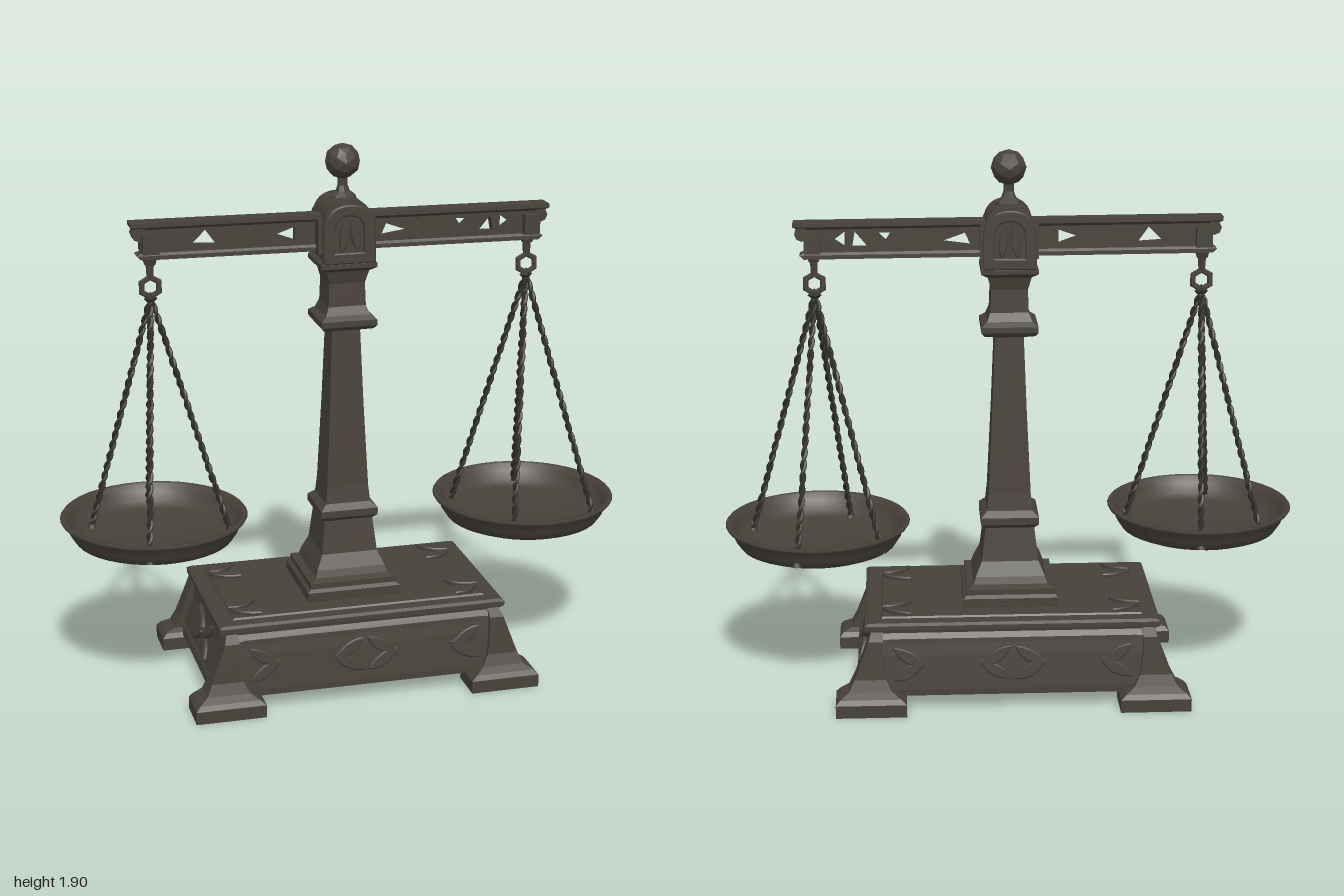
import * as THREE from 'three';

const bronze = new THREE.MeshStandardMaterial({ color: 0x47413a });
bronze.name = 'dark bronze';
const bronzeFlat = bronze.clone();
bronzeFlat.flatShading = true;
const chainMetal = new THREE.MeshStandardMaterial({ color: 0x34312b });
chainMetal.name = 'dark chain metal';

function add(parent, name, geometry, material = bronzeFlat, x = 0, y = 0, z = 0) {
  const mesh = new THREE.Mesh(geometry, material);
  mesh.name = name;
  mesh.position.set(x, y, z);
  parent.add(mesh);
  return mesh;
}

// Rectangular loft through rings of [y, x0, x1, z0, z1], rising in y, capped at both ends
function loft(rings) {
  const pos = [], index = [];
  for (const [y, x0, x1, z0, z1] of rings) pos.push(x0, y, z1, x1, y, z1, x1, y, z0, x0, y, z0);
  for (let r = 0; r < rings.length - 1; r++) {
    for (let i = 0; i < 4; i++) {
      const a = r * 4 + i, b = r * 4 + (i + 1) % 4;
      index.push(a, b, b + 4, a, b + 4, a + 4);
    }
  }
  const t = (rings.length - 1) * 4;
  index.push(0, 2, 1, 0, 3, 2, t, t + 1, t + 2, t, t + 2, t + 3);
  const g = new THREE.BufferGeometry();
  g.setAttribute('position', new THREE.Float32BufferAttribute(pos, 3));
  g.setIndex(index);
  const flat = g.toNonIndexed();
  flat.computeVertexNormals();
  return flat;
}
const centred = rows => loft(rows.map(([y, hx, hz = hx]) => [y, -hx, hx, -hz, hz]));

function extrude(shape, depth, bevel = 0) {
  const g = new THREE.ExtrudeGeometry(shape, {
    depth, bevelEnabled: bevel > 0, bevelSize: bevel, bevelThickness: bevel, bevelSegments: 1, curveSegments: 10,
  });
  return g.translate(0, 0, -depth / 2);
}

function archShape(w, y0, y1, Type = THREE.Shape) {
  const s = new Type();
  s.moveTo(-w, y0).lineTo(w, y0).lineTo(w, y1 - w * 1.1);
  s.bezierCurveTo(w, y1 - w * 0.3, w * 0.55, y1, 0, y1);
  s.bezierCurveTo(-w * 0.55, y1, -w, y1 - w * 0.3, -w, y1 - w * 1.1);
  s.closePath();
  return s;
}

// Pointed leaf used for the raised scrollwork
function leaf(length, width) {
  const s = new THREE.Shape();
  s.moveTo(-length / 2, 0);
  s.quadraticCurveTo(-length * 0.1, -width, length / 2, 0);
  s.quadraticCurveTo(length * 0.1, width * 0.7, -length / 2, 0);
  return extrude(s, 0.012, 0.004);
}

function makeBase() {
  const base = new THREE.Group();
  base.name = 'base';
  add(base, 'plinth', centred([
    [0.055, 0.54, 0.33], [0.09, 0.535, 0.33], [0.2, 0.497, 0.318], [0.255, 0.487, 0.31],
    [0.275, 0.49, 0.298], [0.285, 0.512, 0.3], [0.3, 0.512, 0.3], [0.308, 0.5, 0.29],
  ]));
  add(base, 'topPanel', centred([[0.3, 0.46, 0.25], [0.314, 0.45, 0.24]]));

  // Corner legs sweeping out into square feet
  const leg = [[0, 0.37, 0.615, 0.25, 0.39], [0.045, 0.37, 0.615, 0.25, 0.39], [0.062, 0.39, 0.6, 0.26, 0.38],
    [0.08, 0.42, 0.57, 0.265, 0.355], [0.12, 0.44, 0.55, 0.265, 0.342], [0.2, 0.45, 0.52, 0.265, 0.335],
    [0.255, 0.45, 0.5, 0.265, 0.33], [0.28, 0.45, 0.49, 0.265, 0.3]];
  for (const sx of [-1, 1]) for (const sz of [-1, 1]) {
    add(base, 'leg', loft(leg.map(([y, a, b, c, d]) => [y,
      Math.min(a * sx, b * sx), Math.max(a * sx, b * sx), Math.min(c * sz, d * sz), Math.max(c * sz, d * sz)])));
    // Small leaves lying on the top corners
    for (const turn of [-0.5, 0.6]) {
      const l = add(base, 'topLeaf', leaf(0.11, 0.035), bronzeFlat, sx * 0.4, 0.318, sz * (0.17 + turn * 0.06));
      l.rotation.set(-Math.PI / 2, 0, sx * sz * turn);
    }
  }

  // Raised frame and leaf scrolls on the long and short faces
  for (const [turn, half, out, lean] of [[0, 0.43, 0.318, 0.1], [Math.PI, 0.43, 0.318, 0.1],
    [Math.PI / 2, 0.25, 0.507, 0.29], [-Math.PI / 2, 0.25, 0.507, 0.29]]) {
    const face = new THREE.Group();
    face.name = 'facePanel';
    face.rotation.y = turn;
    const panel = new THREE.Group();
    panel.name = 'relief';
    panel.position.set(0, 0.17, out);
    panel.rotation.x = -lean;
    for (const y of [-0.085, 0.08]) add(panel, 'moulding', new THREE.BoxGeometry(half * 2, 0.014, 0.018), bronzeFlat, 0, y, 0);
    const offsets = half > 0.3 ? [-0.36, -0.06, 0.06, 0.36] : [-0.06, 0.06];
    offsets.forEach((x, i) => {
      for (const s of [-1, 1]) {
        const l = add(panel, 'scrollLeaf', leaf(0.12, 0.04), bronzeFlat, x, s * 0.025, 0.004);
        l.rotation.z = (i % 2 ? 1 : -1) * s * 0.55;
      }
    });
    face.add(panel);
    base.add(face);
  }
  return base;
}

function makeColumn() {
  const column = new THREE.Group();
  column.name = 'column';
  add(column, 'pillar', centred([
    [0.3, 0.16], [0.315, 0.167], [0.345, 0.167], [0.355, 0.155], [0.375, 0.155], [0.385, 0.13], [0.41, 0.122],
    [0.46, 0.1], [0.58, 0.086], [0.595, 0.102], [0.62, 0.102], [0.64, 0.08], [0.7, 0.074], [1, 0.06], [1.26, 0.05],
    [1.272, 0.088], [1.285, 0.098], [1.305, 0.098], [1.32, 0.078], [1.35, 0.066], [1.43, 0.063],
    [1.475, 0.075], [1.49, 0.098], [1.505, 0.098], [1.515, 0.085],
  ]));
  // Arched head with a raised frame and keystone on front and back
  add(column, 'head', extrude(archShape(0.085, 1.5, 1.725), 0.17));
  const frame = archShape(0.088, 1.51, 1.705);
  frame.holes.push(archShape(0.055, 1.54, 1.675, THREE.Path));
  for (const s of [-1, 1]) {
    add(column, 'headFrame', extrude(frame, 0.015, 0.004), bronzeFlat, 0, 0, s * 0.09);
    for (const x of [-0.02, 0.02]) {
      const l = add(column, 'headLeaf', leaf(0.1, 0.028), bronzeFlat, x, 1.6, s * 0.09);
      l.rotation.z = Math.PI / 2 + x * 8;
    }
    add(column, 'sideBoss', new THREE.BoxGeometry(0.03, 0.12, 0.12), bronzeFlat, s * 0.085, 1.595, 0);
  }
  // Finial
  const stem = [[0.05, 1.71], [0.045, 1.725], [0.025, 1.74], [0.018, 1.76], [0.018, 1.785], [0.03, 1.795]];
  add(column, 'finialStem', new THREE.LatheGeometry(stem.map(p => new THREE.Vector2(...p)), 8));
  add(column, 'finialBall', new THREE.IcosahedronGeometry(0.061, 1), bronzeFlat, 0, 1.842, 0);
  return column;
}

function makeBeam() {
  const beam = new THREE.Group();
  beam.name = 'beam';
  const web = new THREE.Shape();
  web.moveTo(-0.7, -0.05).lineTo(0.7, -0.05).lineTo(0.7, 0.05).lineTo(-0.7, 0.05).closePath();
  // Triangular piercings
  const holes = [[-0.53, -0.02, -0.44, -0.025, -0.48, 0.03], [-0.24, 0, -0.17, -0.025, -0.17, 0.025],
    [0.13, -0.025, 0.235, -0.01, 0.15, 0.02], [0.4, 0.025, 0.45, 0.025, 0.42, -0.005],
    [0.48, -0.025, 0.535, -0.025, 0.525, 0.03], [0.56, -0.025, 0.6, 0, 0.56, 0.03]];
  for (const [a, b, c, d, e, f] of holes) web.holes.push(new THREE.Path().moveTo(a, b).lineTo(c, d).lineTo(e, f).closePath());
  add(beam, 'web', extrude(web, 0.034));
  // Slanted braces
  for (const s of [-1, 1]) for (const [x, tilt] of [[0.3, 0.55], [0.37, -0.55], [0.61, 0.6]]) {
    add(beam, 'brace', new THREE.BoxGeometry(0.11, 0.014, 0.046), bronzeFlat, s * x, 0, 0).rotation.z = s * tilt;
  }
  add(beam, 'topFlange', centred([[0.04, 0.715, 0.024], [0.05, 0.735, 0.034], [0.064, 0.735, 0.034]]));
  add(beam, 'bottomFlange', centred([[-0.062, 0.7, 0.03], [-0.048, 0.715, 0.03], [-0.04, 0.7, 0.022]]));
  for (const s of [-1, 1]) {
    add(beam, 'endBlock', new THREE.BoxGeometry(0.055, 0.07, 0.1), bronzeFlat, s * 0.67, -0.005, 0);
    add(beam, 'endCurl', new THREE.CylinderGeometry(0.025, 0.025, 0.06, 8).rotateX(Math.PI / 2), bronzeFlat, s * 0.705, 0.025, 0);
  }
  beam.position.y = 1.602;
  beam.rotation.z = -0.007;
  return beam;
}

// Two strands twisted about a straight line
function addChain(parent, from, to) {
  const dir = to.clone().sub(from), turns = 11;
  const u = new THREE.Vector3(0, 0, 1).cross(dir).normalize(), v = dir.clone().normalize().cross(u);
  for (const phase of [0, Math.PI]) {
    const points = [];
    for (let i = 0; i <= 66; i++) {
      const a = i / 66 * turns * Math.PI * 2 + phase;
      points.push(from.clone().addScaledVector(dir, i / 66).addScaledVector(u, Math.cos(a) * 0.006).addScaledVector(v, Math.sin(a) * 0.006));
    }
    add(parent, 'chainStrand', new THREE.TubeGeometry(new THREE.CatmullRomCurve3(points), 90, 0.0065, 5), chainMetal);
  }
  add(parent, 'chainAnchor', new THREE.ConeGeometry(0.018, 0.04, 6), chainMetal, to.x, to.y + 0.01, to.z);
}

function makePan(name, x, panX, floor, ends) {
  const side = new THREE.Group();
  side.name = name;
  const hangY = floor + 0.04;
  // Hook and six-sided ring below the beam end
  add(side, 'hook', new THREE.CylinderGeometry(0.018, 0.012, 0.1, 6), bronzeFlat, x, 1.525, 0);
  add(side, 'hookCollar', new THREE.CylinderGeometry(0.028, 0.02, 0.025, 6), bronzeFlat, x, 1.535, 0);
  add(side, 'ring', new THREE.TorusGeometry(0.034, 0.011, 6, 6).rotateZ(Math.PI / 6), bronzeFlat, x, 1.445, 0);
  add(side, 'ringKnot', new THREE.OctahedronGeometry(0.024), chainMetal, x, 1.405, 0);
  for (const [ex, ez] of ends) addChain(side, new THREE.Vector3(x, 1.41, 0), new THREE.Vector3(ex, hangY, ez));
  // Shallow dish with a rolled rim
  const profile = [[0, 0], [0.15, 0.002], [0.24, 0.01], [0.275, 0.025], [0.295, 0.055], [0.302, 0.085], [0.32, 0.092],
    [0.325, 0.1], [0.32, 0.107], [0.305, 0.104], [0.292, 0.08], [0.275, 0.05], [0.24, 0.034], [0.15, 0.026], [0, 0.024]];
  const dish = add(side, 'dish', new THREE.LatheGeometry(profile.map(p => new THREE.Vector2(...p)), 40), bronze, panX, floor, 0);
  dish.scale.z = 1.03;
  return side;
}

export function createModel() {
  const model = new THREE.Group();
  model.name = 'balanceScale';
  model.add(makeBase(), makeColumn(), makeBeam());
  model.add(makePan('rightPan', -0.668, -0.677, 0.53, [[-0.88, -0.11], [-0.74, 0.27], [-0.65, -0.28], [-0.42, 0.05]]));
  model.add(makePan('leftPan', 0.667, 0.675, 0.488, [[0.45, -0.15], [0.565, 0.235], [0.738, -0.28], [0.91, 0.1]]));
  return model;
}
